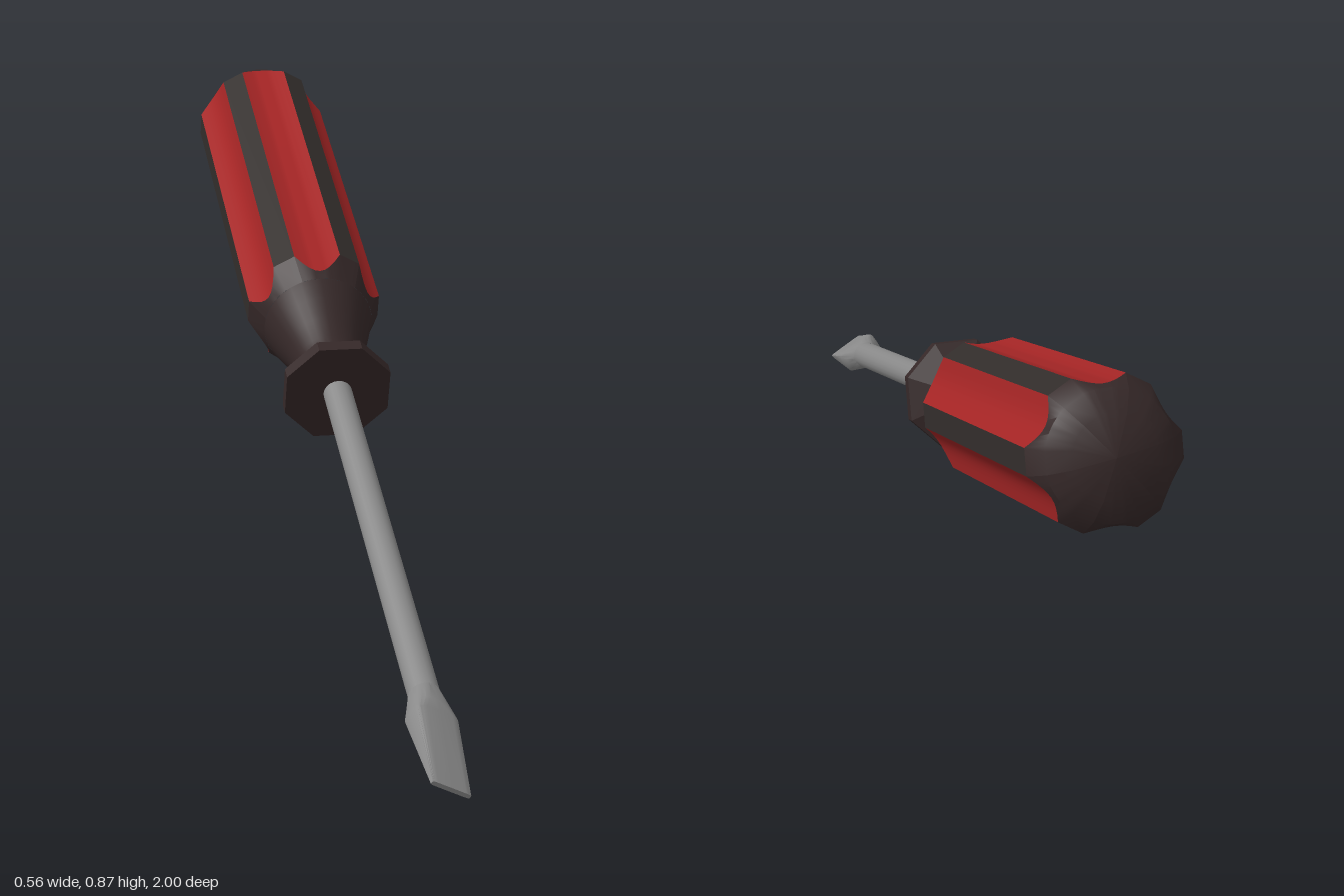
import * as THREE from 'three';
import { mergeGeometries, toCreasedNormals } from 'three/addons/utils/BufferGeometryUtils.js';

const R = 0.13;                    // handle radius
const RAD = Math.PI / 180;
const polar = (deg, r, y) => [r * Math.sin(deg * RAD), y, r * Math.cos(deg * RAD)];

// Surface through rows of points; rows go up y, columns go round y
function loft(rows, crease = 0.6) {
  const n = rows[0].length, index = [];
  for (let i = 0; i < rows.length - 1; i++) {
    for (let j = 0; j < n - 1; j++) {
      const a = i * n + j, b = a + n;
      index.push(a, a + 1, b, a + 1, b + 1, b);
    }
  }
  const g = new THREE.BufferGeometry();
  g.setAttribute('position', new THREE.Float32BufferAttribute(rows.flat(2), 3));
  g.setIndex(index);
  return toCreasedNormals(g, crease);
}

function lathe(profile, sides, phi = 0) {
  return new THREE.LatheGeometry(profile.map(([r, y]) => new THREE.Vector2(r, y)), sides, phi);
}

export function createModel() {
  const mat = (name, color) => {
    const m = new THREE.MeshStandardMaterial({ color });
    m.name = name;
    return m;
  };
  const red = mat('red grip', 0xa52525);
  const dark = mat('dark brown plastic', 0x352828);
  const black = mat('dark ribs', 0x322d2b);
  const steel = mat('grey steel', 0x8a8a8a);

  // The tool lies along its own y axis, with the butt at +y
  const tool = new THREE.Group();
  tool.name = 'screwdriver';
  const add = (name, geometry, material) => {
    const m = new THREE.Mesh(geometry, material);
    m.name = name;
    tool.add(m);
    return m;
  };

  // Handle: six concave red flutes between dark ribs
  const cols = [];
  for (let i = 0; i <= 8; i++) {
    const t = i / 4 - 1, deg = t * 20;
    const r = R * Math.cos(20 * RAD) / Math.cos(deg * RAD) - 0.01 * (1 - t * t);
    cols.push({ deg, r, start: 0.23 + (r - 0.105) * 2.2, end: 1.005 + (R - r) * 1.3 });
  }
  cols.push({ ...cols[0], deg: 40 });   // far edge of the neighbouring rib
  const flutes = [], ribs = [], shoulder = [], cap = [];
  for (let k = 0; k < 6; k++) {
    const ring = (list, r, y) => list.map(c => polar(c.deg + k * 60, r ?? c.r, c[y] ?? y));
    const groove = cols.slice(0, 9), rib = cols.slice(8);
    flutes.push(loft([ring(groove, null, 'start'), ring(groove, null, 'end')]));
    ribs.push(loft([ring(rib, null, 'start'), ring(rib, null, 'end')]));
    shoulder.push(loft([ring(cols, 0.105, 0.23), ring(cols, null, 'start')]));
    cap.push(loft([
      ring(cols, null, 'end'), ring(cols, 0.107, 1.043),
      ring(cols, 0.07, 1.066), ring(cols, 0, 1.074),
    ]));
  }
  add('gripFlutes', mergeGeometries(flutes), red);
  add('gripRibs', mergeGeometries(ribs), black);
  add('handleShoulder', mergeGeometries(shoulder), dark);
  add('handleCap', mergeGeometries(cap), dark);

  // Waisted neck and eight-sided collar
  add('neck', lathe([[0.064, 0.03], [0.061, 0.06], [0.065, 0.095], [0.077, 0.14],
    [0.092, 0.185], [0.101, 0.215], [0.105, 0.23]], 32), dark);
  const collar = lathe([[0, 0], [0.106, 0], [0.106, 0.027], [0.06, 0.048]], 8, Math.PI / 8);
  add('collar', toCreasedNormals(collar, 0.2), dark);

  // Round shaft
  add('shaft', lathe([[0.027, -0.87], [0.027, 0.01]], 20), steel);

  // Flat blade: round at the shaft, swelling, then tapering to a thin edge
  const section = (y, w, d, power) => Array.from({ length: 25 }, (_, i) => {
    const a = i / 24 * Math.PI * 2, s = Math.sin(a), c = Math.cos(a);
    return [w * Math.sign(s) * Math.abs(s) ** power, y, d * Math.sign(c) * Math.abs(c) ** power];
  });
  const blade = add('blade', loft([
    section(-1.088, 0, 0, 1),
    section(-1.088, 0.038, 0.004, 0.25),
    section(-0.925, 0.043, 0.025, 0.4),
    section(-0.9, 0.037, 0.028, 0.7),
    section(-0.86, 0.027, 0.027, 1),
  ], 0.5), steel);
  blade.rotation.y = 30 * RAD;

  // Propped at an angle, tip down towards the front
  tool.rotation.set(0.3597 - Math.PI / 2, -0.205, 0, 'YXZ');
  tool.position.set(-0.044, 0.408, 0);
  const model = new THREE.Group();
  model.name = 'model';
  model.add(tool);
  return model;
}
